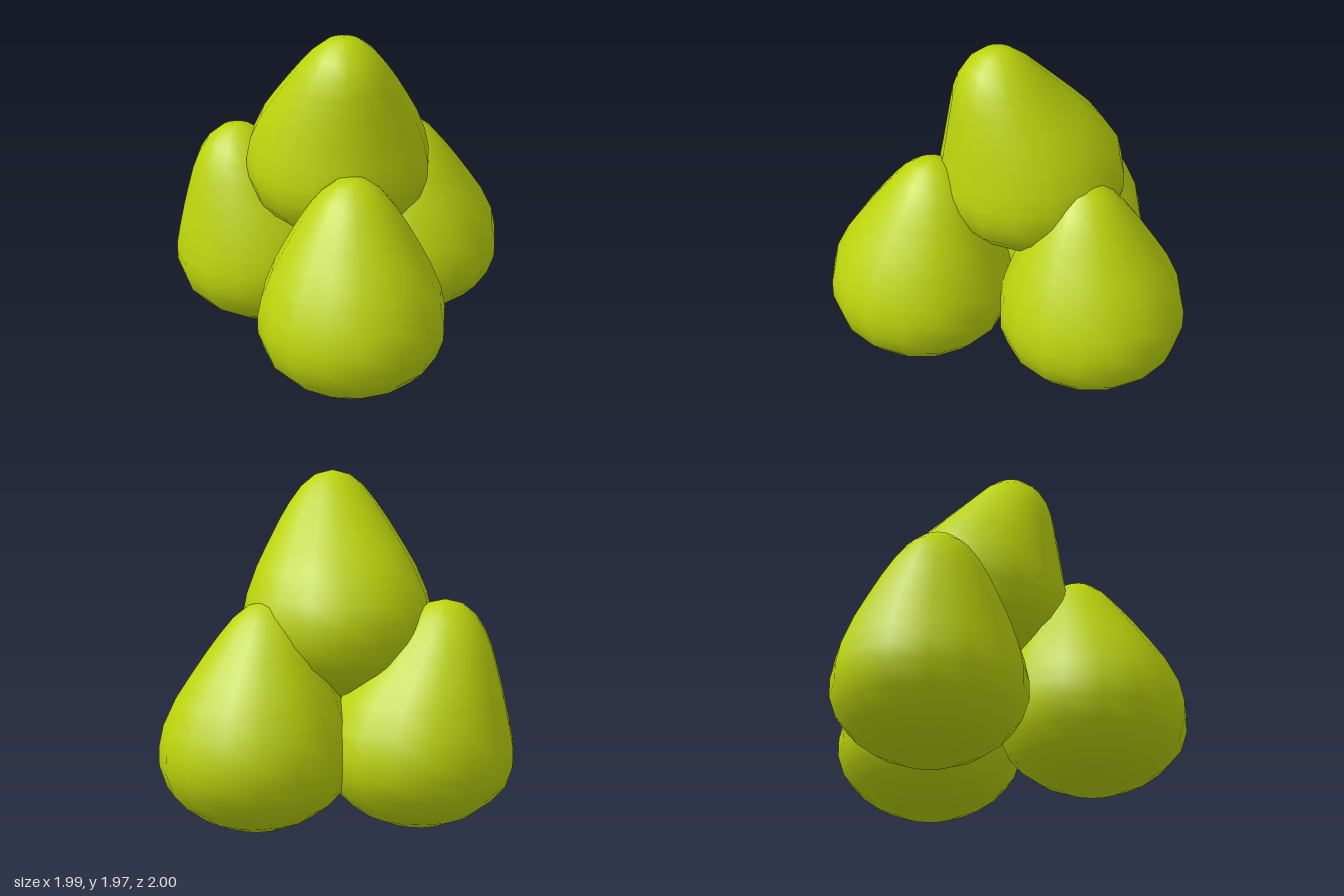
import * as THREE from 'three';
import { mergeVertices } from 'three/addons/utils/BufferGeometryUtils.js';

// Half outline of a pear: radius, height
const PROFILE = [
  [0, 0.005], [0.18, 0.025], [0.31, 0.08], [0.42, 0.16], [0.5, 0.25], [0.54, 0.37],
  [0.54, 0.48], [0.515, 0.6], [0.455, 0.75], [0.39, 0.87], [0.315, 1.0], [0.25, 1.1],
  [0.18, 1.19], [0.1, 1.255], [0, 1.28],
].map(([r, y]) => new THREE.Vector2(r, y));

// Lathed pear whose neck bends sideways by (leanX, leanZ)
function pearGeometry(leanX, leanZ) {
  let geo = new THREE.LatheGeometry(PROFILE, 16);
  geo.deleteAttribute('uv');
  geo.deleteAttribute('normal');
  geo = mergeVertices(geo, 1e-4);
  const pos = geo.attributes.position;
  for (let i = 0; i < pos.count; i++) {
    const bend = THREE.MathUtils.smoothstep(pos.getY(i), 0.55, 1.25);
    pos.setX(i, pos.getX(i) + leanX * bend);
    pos.setZ(i, pos.getZ(i) + leanZ * bend);
  }
  geo.computeVertexNormals();
  return geo;
}

export function createModel() {
  const group = new THREE.Group();
  group.name = 'pearStack';
  const skin = new THREE.MeshStandardMaterial({ color: 0xbcd40c });

  // Three pears on the ground and one resting on top
  const pears = [
    { name: 'frontPear', at: [-0.03, 0, 0.46], lean: [0.01, -0.07] },
    { name: 'backRightPear', at: [-0.46, 0, -0.46], lean: [-0.15, 0.03] },
    { name: 'backLeftPear', at: [0.45, 0, -0.46], lean: [-0.06, 0.04] },
    { name: 'topPear', at: [-0.03, 0.69, -0.2], lean: [0.01, 0.2] },
  ];
  for (const { name, at, lean } of pears) {
    const pear = new THREE.Mesh(pearGeometry(...lean), skin);
    pear.name = name;
    pear.position.set(...at);
    group.add(pear);
  }
  return group;
}
